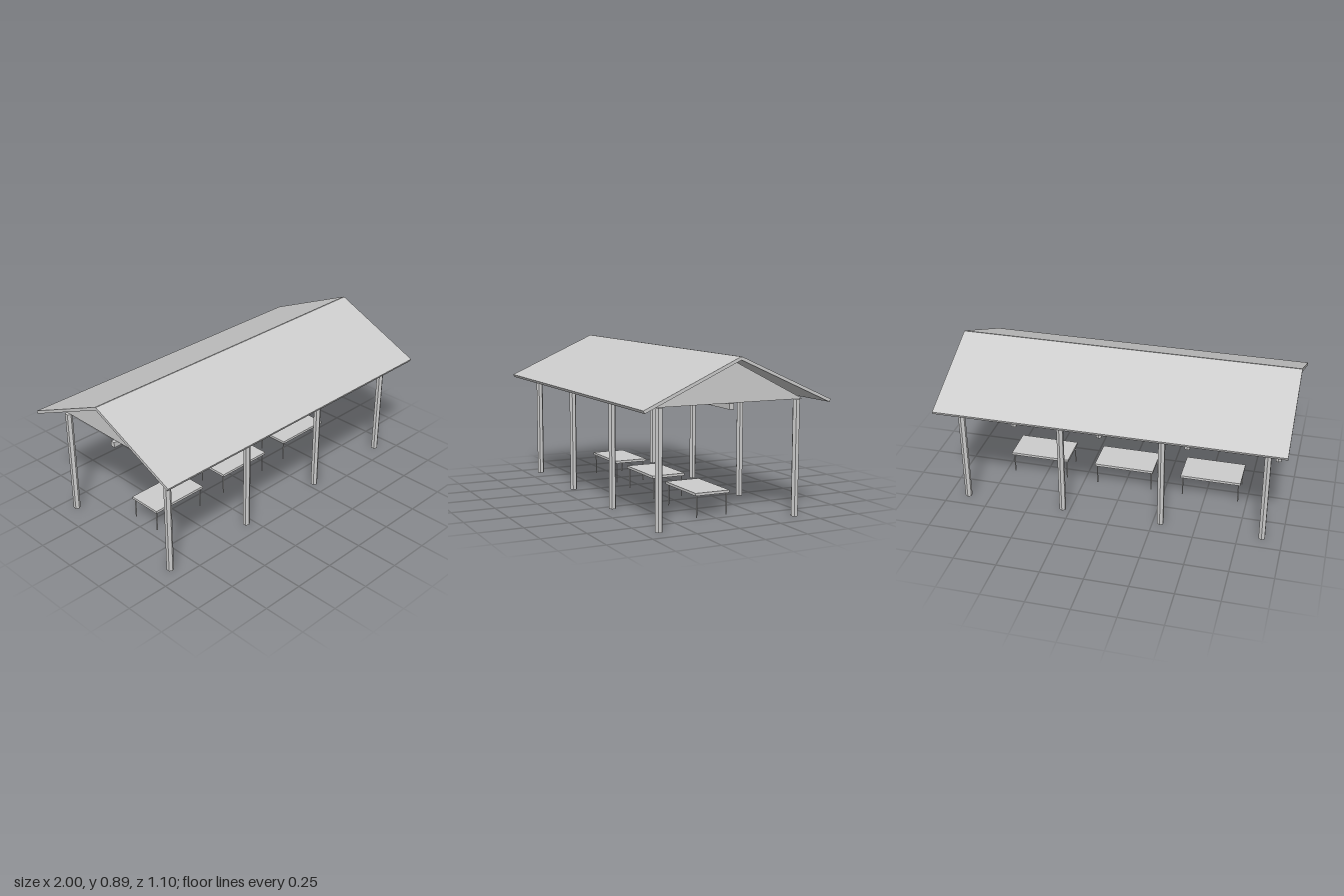
import * as THREE from 'three';

export function createModel() {
  const model = new THREE.Group();
  model.name = 'picnicShelter';
  const grey = new THREE.MeshStandardMaterial({ color: 0xcccccc, flatShading: true, side: THREE.DoubleSide });
  grey.name = 'light grey';

  const add = (name, geometry, x, y, z, parent = model) => {
    const mesh = new THREE.Mesh(geometry, grey);
    mesh.name = name;
    mesh.position.set(x, y, z);
    parent.add(mesh);
    return mesh;
  };

  // Two rows of hexagonal posts
  const postHeight = 0.64;
  const post = new THREE.CylinderGeometry(0.0205, 0.0205, postHeight, 6);
  for (const x of [-0.885, -0.295, 0.295, 0.885])
    for (const z of [-0.41, 0.41]) add('post', post, x, postHeight / 2, z);

  // Sloping roof slabs, meeting at the ridge
  const slab = new THREE.BoxGeometry(2, 0.017, 0.6);
  for (const side of [-1, 1]) {
    add('roofSlab', slab, 0, 0.76, side * 0.273).rotation.x = side * 0.42;
  }

  // Thin triangular gable panels over the end posts
  const triangle = new THREE.Shape([
    new THREE.Vector2(-0.45, 0.64),
    new THREE.Vector2(0.45, 0.64),
    new THREE.Vector2(0, 0.87),
  ]);
  const gable = new THREE.ShapeGeometry(triangle);
  for (const side of [-1, 1]) {
    add('gable', gable, side * 0.885, 0, 0).rotation.y = side * Math.PI / 2;
  }

  // Long tie beam under the gables
  add('beam', new THREE.BoxGeometry(1.81, 0.031, 0.027), 0, 0.6245, 0);

  // Three tables in a row
  const tableTop = new THREE.BoxGeometry(0.36, 0.015, 0.21);
  const leg = new THREE.CylinderGeometry(0.004, 0.004, 0.123, 6);
  for (const x of [-0.53, 0, 0.53]) {
    const table = new THREE.Group();
    table.name = 'table';
    table.position.x = x;
    add('tableTop', tableTop, 0, 0.1305, 0, table);
    for (const lx of [-0.168, 0.168])
      for (const lz of [-0.0915, 0.0915]) add('tableLeg', leg, lx, 0.0615, lz, table);
    model.add(table);
  }

  return model;
}
